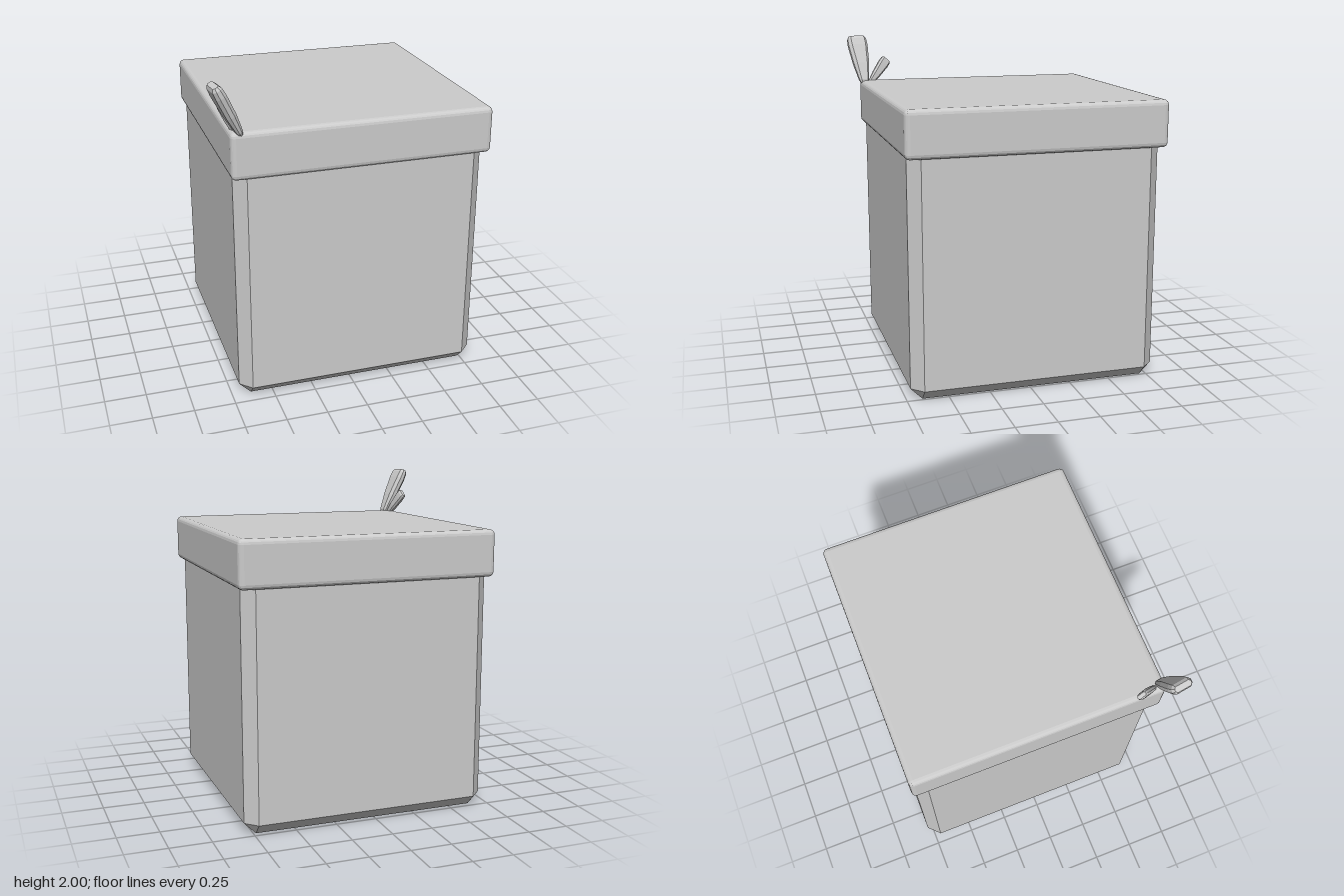
import * as THREE from 'three';
import { RoundedBoxGeometry } from 'three/addons/geometries/RoundedBoxGeometry.js';

const material = new THREE.MeshStandardMaterial({ color: 0xcccccc, flatShading: true });

// Eight-sided loft along y; each ring is [y, halfX, halfZ, cornerCut]
function loft(rings) {
  const points = [];
  for (const [y, hx, hz, c] of rings) {
    const a = hx - c, b = hz - c;
    for (const [x, z] of [[hx, b], [hx, -b], [a, -hz], [-a, -hz], [-hx, -b], [-hx, b], [-a, hz], [a, hz]]) {
      points.push(new THREE.Vector3(x, y, z));
    }
  }
  const position = [];
  const tri = (...ids) => {
    const t = new THREE.Triangle(...ids.map((i) => points[i]));
    if (t.getArea() > 1e-9) ids.forEach((i) => position.push(...points[i].toArray()));
  };
  for (let r = 0; r < rings.length - 1; r++) {
    for (let j = 0; j < 8; j++) {
      const a = r * 8 + j, b = r * 8 + (j + 1) % 8;
      tri(a, b, b + 8);
      tri(a, b + 8, a + 8);
    }
  }
  const top = (rings.length - 1) * 8;
  for (let j = 1; j < 7; j++) {
    tri(0, j + 1, j);
    tri(top, top + j, top + j + 1);
  }
  const geometry = new THREE.BufferGeometry();
  geometry.setAttribute('position', new THREE.Float32BufferAttribute(position, 3));
  geometry.computeVertexNormals();
  return geometry;
}

// Flattened bow loop from base to tip, its broad direction along wide
function bowLoop(name, base, tip, wide, halfThick, halfWide) {
  const start = new THREE.Vector3(...base);
  const axis = new THREE.Vector3(...tip).sub(start);
  const length = axis.length();
  axis.normalize();
  const x = axis.clone().cross(new THREE.Vector3(...wide)).normalize();
  const z = x.clone().cross(axis);
  // fraction along the loop, thickness scale, width scale
  const profile = [[0, 0.35, 0.35], [0.06, 0.6, 0.5], [0.4, 0.95, 0.8], [0.8, 1, 1], [0.94, 0.9, 0.97], [1, 0.55, 0.8]];
  const rings = profile.map(([t, s, w]) => [t * length, halfThick * s, halfWide * w, halfThick * s * 0.6]);
  const mesh = new THREE.Mesh(loft(rings), material);
  mesh.name = name;
  mesh.quaternion.setFromRotationMatrix(new THREE.Matrix4().makeBasis(x, axis, z));
  mesh.position.copy(start);
  return mesh;
}

export function createModel() {
  const model = new THREE.Group();
  model.name = 'giftBox';

  // Chamfered cube body
  const h = 0.755, c = 0.07;
  const body = new THREE.Mesh(loft([[0, h - c, h - c, 0], [c, h, h, c], [2 * h - c, h, h, c], [2 * h, h - c, h - c, 0]]), material);
  body.name = 'boxBody';
  body.position.set(0.05, 0, -0.028);

  // Overhanging lid with softened edges
  const lid = new THREE.Mesh(new RoundedBoxGeometry(1.56, 0.28, 1.56, 2, 0.03), material);
  lid.name = 'lid';
  lid.position.set(0.055, 1.57, -0.03);

  // Two bow loops on the front corner
  const bow = new THREE.Group();
  bow.name = 'bow';
  bow.add(
    bowLoop('largeBowLoop', [-0.665, 1.695, 0.724], [-0.812, 1.993, 0.752], [0.15, 0, 1], 0.032, 0.066),
    bowLoop('smallBowLoop', [-0.685, 1.69, 0.685], [-0.742, 1.843, 0.56], [0.1, 0.72, 0.69], 0.02, 0.036),
  );

  model.add(body, lid, bow);
  return model;
}
